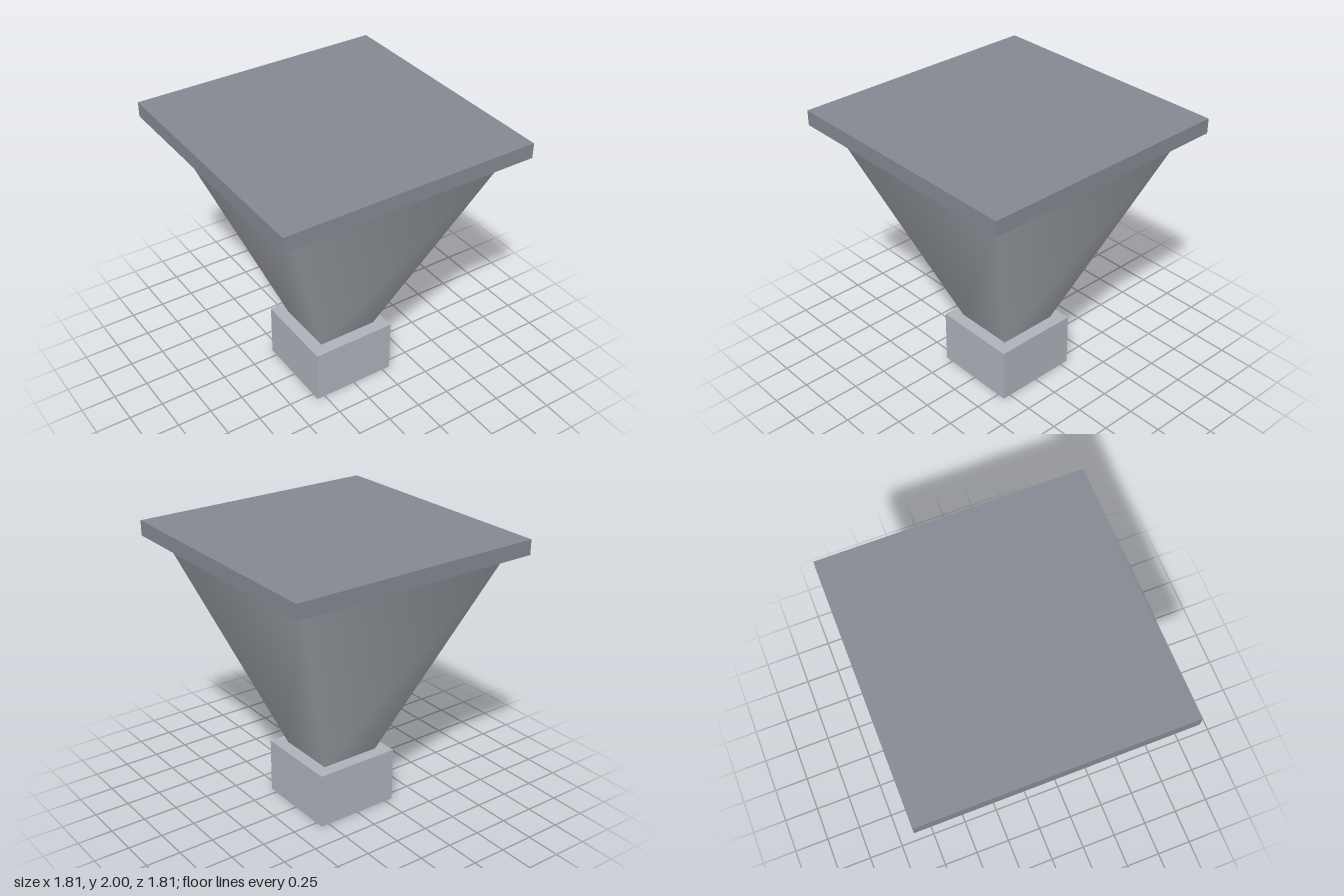
import * as THREE from 'three';

export function createModel() {
  const group = new THREE.Group();
  const lightSteel = new THREE.MeshStandardMaterial({ color: 0xaeb2ba });
  lightSteel.name = 'light steel';
  const darkSteel = new THREE.MeshStandardMaterial({ color: 0x848992 });
  darkSteel.name = 'dark steel';

  const baseTop = 0.4, lidBottom = 1.895, height = 2;

  const add = (name, geometry, material, bottom, top) => {
    const mesh = new THREE.Mesh(geometry, material);
    mesh.name = name;
    mesh.position.y = (bottom + top) / 2;
    group.add(mesh);
  };

  // Square outlet block
  add('outletBlock', new THREE.BoxGeometry(0.62, baseTop, 0.62), lightSteel, 0, baseTop);

  // Four-sided hopper, smooth shaded around its corners
  add('hopper', new THREE.CylinderGeometry(0.8 * Math.SQRT2, 0.22 * Math.SQRT2,
    lidBottom - baseTop, 4, 1, false, Math.PI / 4), lightSteel, baseTop, lidBottom);

  // Flat square lid overhanging the hopper
  add('lid', new THREE.BoxGeometry(1.81, height - lidBottom, 1.81), darkSteel, lidBottom, height);

  return group;
}
